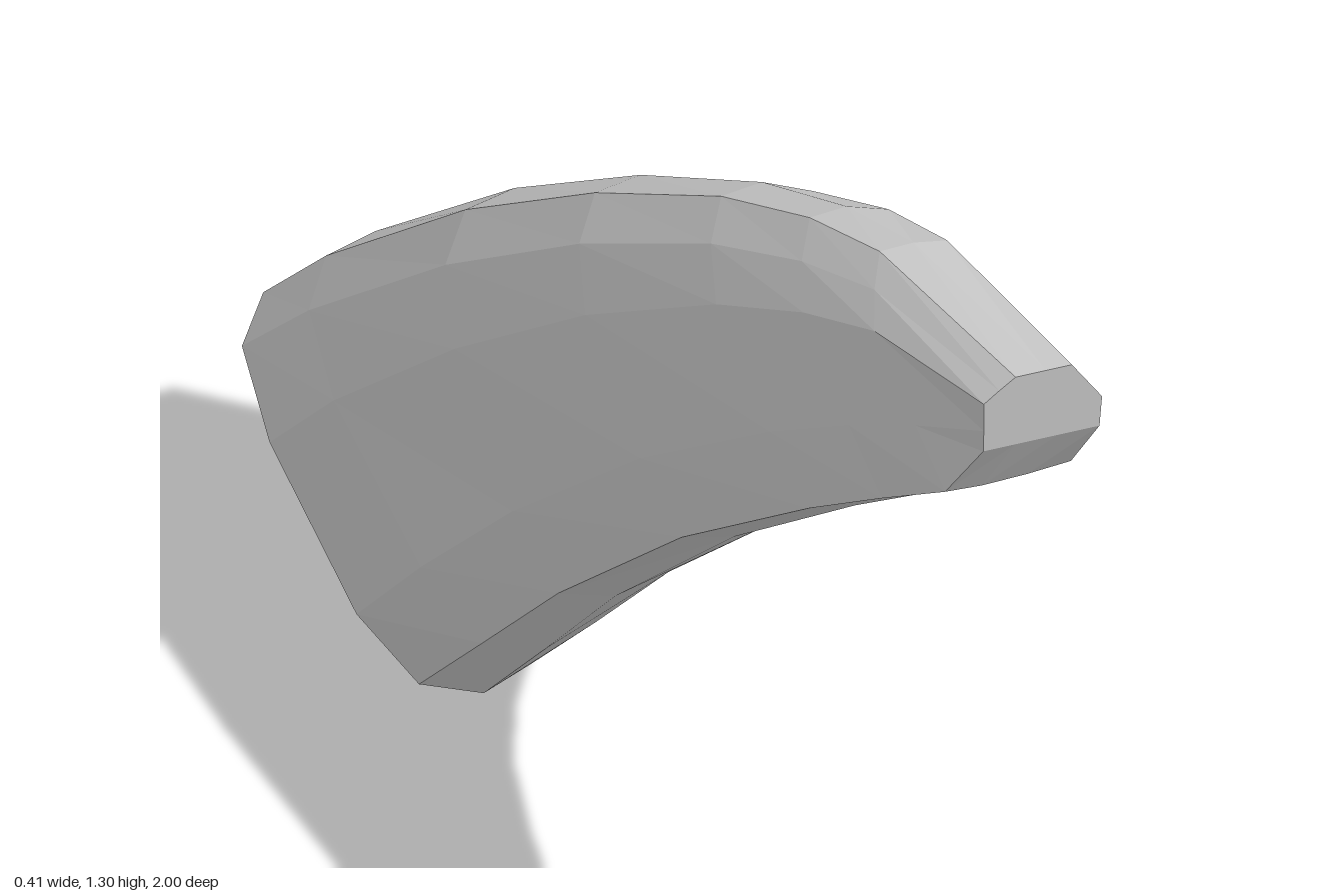
import * as THREE from 'three';

// Cross-sections from root to tip: upper edge (z, y), lower edge (z, y), x range
const SECTIONS = [
  [-1.0, 0.3, -0.43, 0.0, -0.205, 0.128],
  [-0.83, 0.45, -0.24, 0.18, -0.188, 0.135],
  [-0.43, 0.75, -0.05, 0.37, -0.155, 0.145],
  [-0.1, 0.96, 0.27, 0.645, -0.108, 0.165],
  [0.2, 1.12, 0.58, 0.87, -0.052, 0.188],
  [0.42, 1.21, 0.75, 0.985, -0.015, 0.197],
  [0.6, 1.26, 0.91, 1.09, 0.012, 0.2],
  [1.0, 1.305, 0.98, 1.19, 0.04, 0.203],
];

// Outlines as (across 0..1, lower to upper 0..1), blended from root to tip
const ROOT = [
  [0.43, 0], [0.2, 0.05], [0.07, 0.23], [0, 0.64], [0.04, 0.86], [0.2, 0.965],
  [0.43, 1], [0.73, 0.86], [1, 0.5], [0.96, 0.3], [0.81, 0.13], [0.65, 0.04],
];
const TIP = [
  [0.3, 0], [0.03, 0], [0.02, 0.3], [0, 0.7], [0.12, 0.85], [0.25, 1],
  [0.5, 1], [0.72, 1], [1, 0.43], [1, 0.2], [1, 0], [0.65, 0],
];

function ring([uz, uy, lz, ly, x0, x1], blend) {
  return ROOT.map(([rx, rt], i) => {
    const a = THREE.MathUtils.lerp(rx, TIP[i][0], blend);
    const t = THREE.MathUtils.lerp(rt, TIP[i][1], blend);
    return [x0 + (x1 - x0) * a, ly + (uy - ly) * t, lz + (uz - lz) * t];
  });
}

function buildGeometry(points, index) {
  const g = new THREE.BufferGeometry();
  g.setAttribute('position', new THREE.Float32BufferAttribute(points.flat(), 3));
  g.setIndex(index);
  const flat = g.toNonIndexed();
  flat.computeVertexNormals();
  return flat;
}

// Fan over one end ring
function capGeometry(points, flip) {
  const n = points.length;
  const centre = [0, 1, 2].map((k) => points.reduce((s, p) => s + p[k], 0) / n);
  const index = [];
  for (let i = 0; i < n; i++) {
    const j = (i + 1) % n;
    index.push(n, ...(flip ? [j, i] : [i, j]));
  }
  return buildGeometry([...points, centre], index);
}

export function createModel() {
  const model = new THREE.Group();
  model.name = 'curvedTusk';
  const grey = new THREE.MeshStandardMaterial({ color: 0xcccccc, flatShading: true });
  grey.name = 'light grey';

  const add = (name, geometry) => {
    const mesh = new THREE.Mesh(geometry, grey);
    mesh.name = name;
    model.add(mesh);
  };

  // Tapering curved body
  const last = SECTIONS.length - 1;
  const rings = SECTIONS.map((s, i) => ring(s, i / last));
  const n = ROOT.length;
  const index = [];
  for (let s = 0; s < last; s++) {
    for (let i = 0; i < n; i++) {
      const a = s * n + i, b = s * n + (i + 1) % n;
      index.push(a, a + n, b, b, a + n, b + n);
    }
  }
  add('body', buildGeometry(rings.flat(), index));

  // Flat ends
  add('rootFace', capGeometry(rings[0], false));
  add('tipFace', capGeometry(rings[last], true));
  return model;
}
